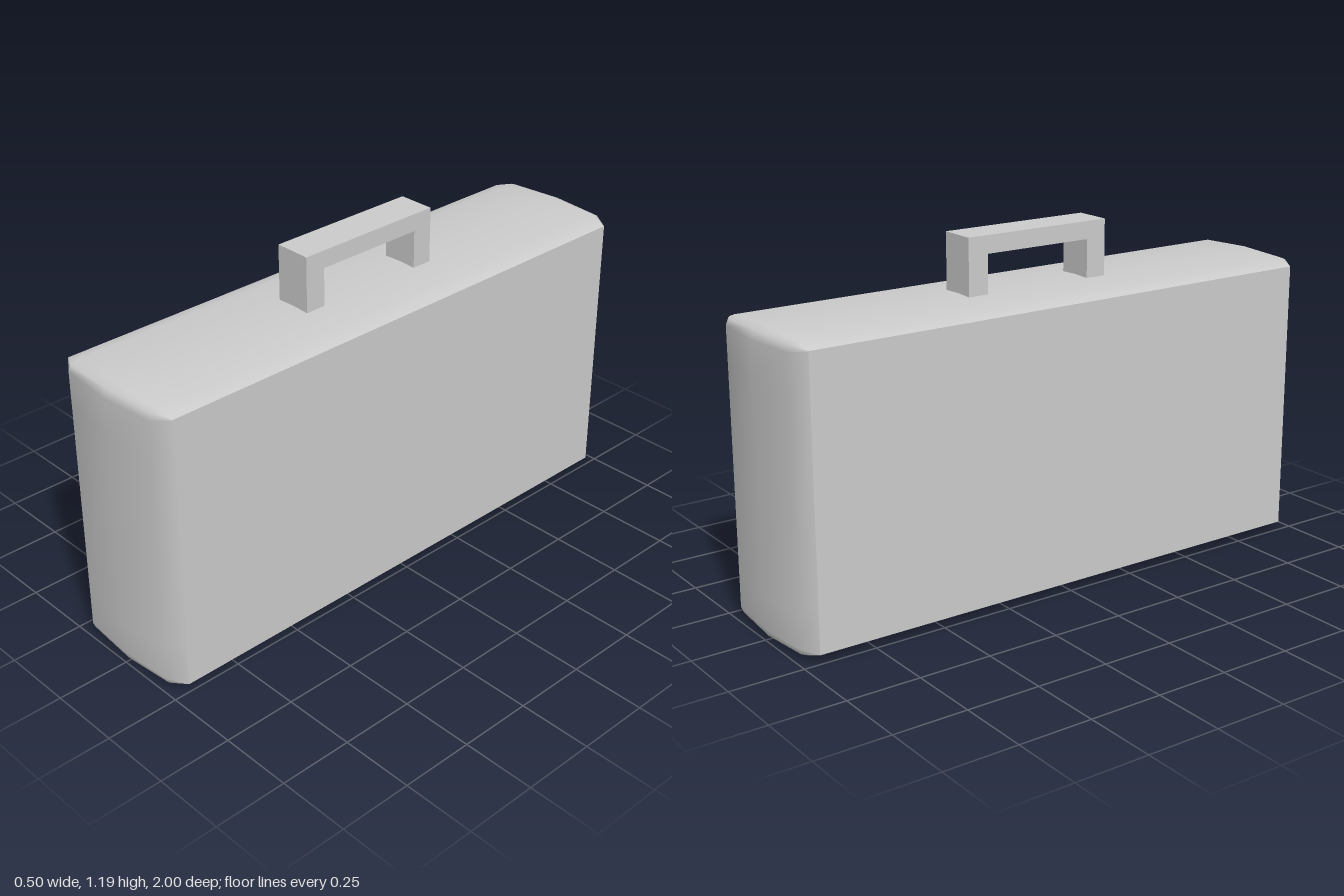
import * as THREE from 'three';

const material = new THREE.MeshStandardMaterial({ color: 0xcccccc });

// Rounded rectangle in the z-y plane, running from +z towards +y
function sectionRing(halfZ, halfY, r) {
  const k = r * (1 - Math.SQRT1_2);
  const quarter = [
    [halfZ, halfY - 0.15], [halfZ, halfY - r], [halfZ - k, halfY - k],
    [halfZ - r, halfY], [halfZ - 0.15, halfY],
  ];
  const ring = [];
  for (const [sz, sy] of [[1, 1], [-1, 1], [-1, -1], [1, -1]]) {
    const pts = sz * sy > 0 ? quarter : [...quarter].reverse();
    for (const [z, y] of pts) ring.push([z * sz, y * sy]);
  }
  return ring;
}

// Bulging band that wraps round the case, lofted along x
function bandGeometry() {
  // x, half length, bottom, top, corner radius
  const sections = [
    [-0.25, 0.945, 0.03, 0.975, 0.001], [-0.19, 0.986, 0.01, 0.995, 0.03],
    [0, 1, 0, 1.002, 0.04],
    [0.19, 0.986, 0.01, 0.995, 0.03], [0.25, 0.945, 0.03, 0.975, 0.001],
  ];
  const positions = [], index = [], n = 20;
  sections.forEach(([x, halfZ, y0, y1, r], i) => {
    for (const [z, y] of sectionRing(halfZ, (y1 - y0) / 2, r)) {
      positions.push(x, y + (y0 + y1) / 2, z);
    }
    if (i === sections.length - 1) return;
    for (let j = 0; j < n; j++) {
      const a = i * n + j, b = i * n + ((j + 1) % n);
      index.push(a, a + n, b + n, a, b + n, b);
    }
  });
  const geo = new THREE.BufferGeometry();
  geo.setAttribute('position', new THREE.Float32BufferAttribute(positions, 3));
  geo.setIndex(index);
  geo.computeVertexNormals();
  return geo;
}

// Square-cornered arch, extruded across the case
function handleGeometry() {
  const outline = [
    [-0.27, 0.985], [-0.197, 0.985], [-0.197, 1.13], [0.197, 1.13],
    [0.197, 0.985], [0.27, 0.985], [0.27, 1.19], [-0.27, 1.19],
  ].map(([x, y]) => new THREE.Vector2(x, y));
  const geo = new THREE.ExtrudeGeometry(new THREE.Shape(outline), { depth: 0.128, bevelEnabled: false });
  return geo.translate(0, 0, -0.064).rotateY(Math.PI / 2);
}

export function createModel() {
  const model = new THREE.Group();
  model.name = 'suitcase';
  const add = (name, geo) => {
    const mesh = new THREE.Mesh(geo, material);
    mesh.name = name;
    model.add(mesh);
    return mesh;
  };

  add('caseBand', bandGeometry());

  // Flat panels closing both sides
  for (const [name, side] of [['leftPanel', 1], ['rightPanel', -1]]) {
    const panel = add(name, new THREE.PlaneGeometry(1.89, 0.945));
    panel.rotation.y = side * Math.PI / 2;
    panel.position.set(side * 0.25, 0.5025, 0);
  }

  add('handle', handleGeometry());
  return model;
}
